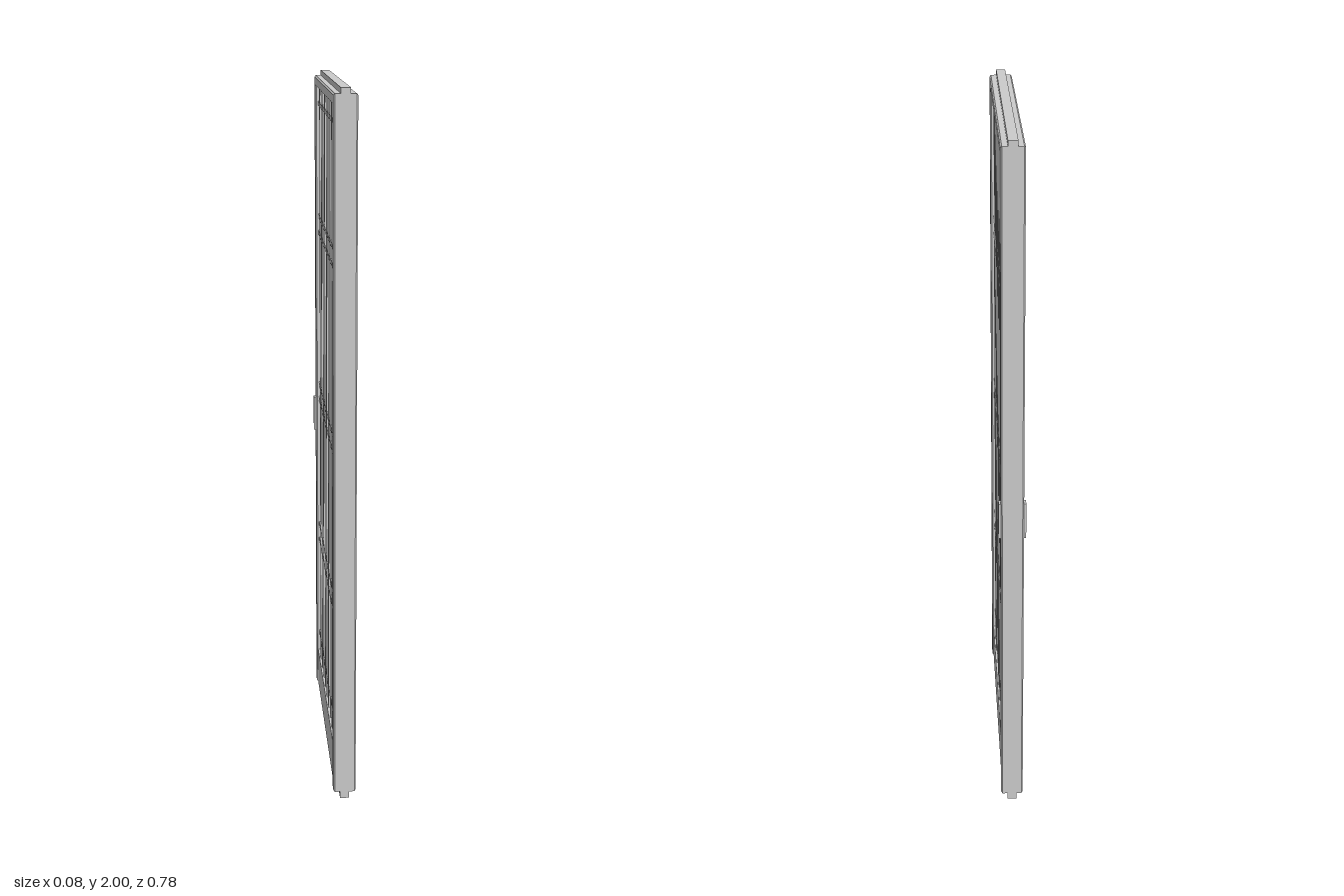
import * as THREE from 'three';

export function createModel() {
  const door = new THREE.Group();
  door.name = 'latticeDoor';
  const material = new THREE.MeshStandardMaterial({ color: 0xcccccc, flatShading: true });

  const add = (name, geometry, x = 0, y = 0, z = 0) => {
    const mesh = new THREE.Mesh(geometry, material);
    mesh.name = name;
    mesh.position.set(x, y, z);
    door.add(mesh);
    return mesh;
  };
  // Box given by its half thickness in x and its ranges in y and z
  const slab = (name, halfX, y0, y1, z0, z1) =>
    add(name, new THREE.BoxGeometry(halfX * 2, y1 - y0, z1 - z0), 0, (y0 + y1) / 2, (z0 + z1) / 2);

  // Bevelled stiles and top rail, extruded through the door's thickness
  const bevel = 0.004, outer = 0.39, inner = 0.355, bottom = 0.02, top = 1.985;
  const o = outer - bevel, i = inner + bevel, b = bottom + bevel;
  const outline = new THREE.Shape([
    [-o, b], [-i, b], [-i, 1.955 + bevel], [i, 1.955 + bevel],
    [i, b], [o, b], [o, top - bevel], [-o, top - bevel],
  ].map(([z, y]) => new THREE.Vector2(z, y)));
  const frame = new THREE.ExtrudeGeometry(outline, {
    depth: 0.056, bevelEnabled: true, bevelSize: bevel, bevelThickness: bevel, bevelSegments: 1,
  });
  frame.translate(0, 0, -0.028).rotateY(Math.PI / 2);
  add('frame', frame);

  // Bottom rail, and the tongues that run in the tracks
  slab('bottomRail', 0.028, bottom, 0.135, -inner, inner);
  slab('topTongue', 0.013, top - 0.005, 2, -outer, outer);
  slab('bottomTongue', 0.013, 0, bottom + 0.005, -outer, outer);

  // Backing panel in the middle of the lattice
  slab('panel', 0.004, 0.135, 1.955, -inner, inner);

  // Vertical lattice bars
  const bars = 9, spacing = (inner * 2) / (bars + 1);
  for (let n = 1; n <= bars; n++) {
    const z = -inner + n * spacing;
    slab('verticalBar', 0.024, 0.135, 1.955, z - 0.008, z + 0.008);
  }

  // Horizontal slats: one at each end and three pairs between
  for (const y of [0.198, 0.522, 0.574, 0.992, 1.04, 1.517, 1.568, 1.905]) {
    slab('horizontalSlat', 0.0235, y - 0.006, y + 0.006, -inner, inner);
  }

  // Finger plates on both faces of the rear stile
  for (const side of [-1, 1]) {
    add('handle', new THREE.BoxGeometry(0.008, 0.105, 0.025), side * 0.034, 0.94, -0.374);
  }
  return door;
}
